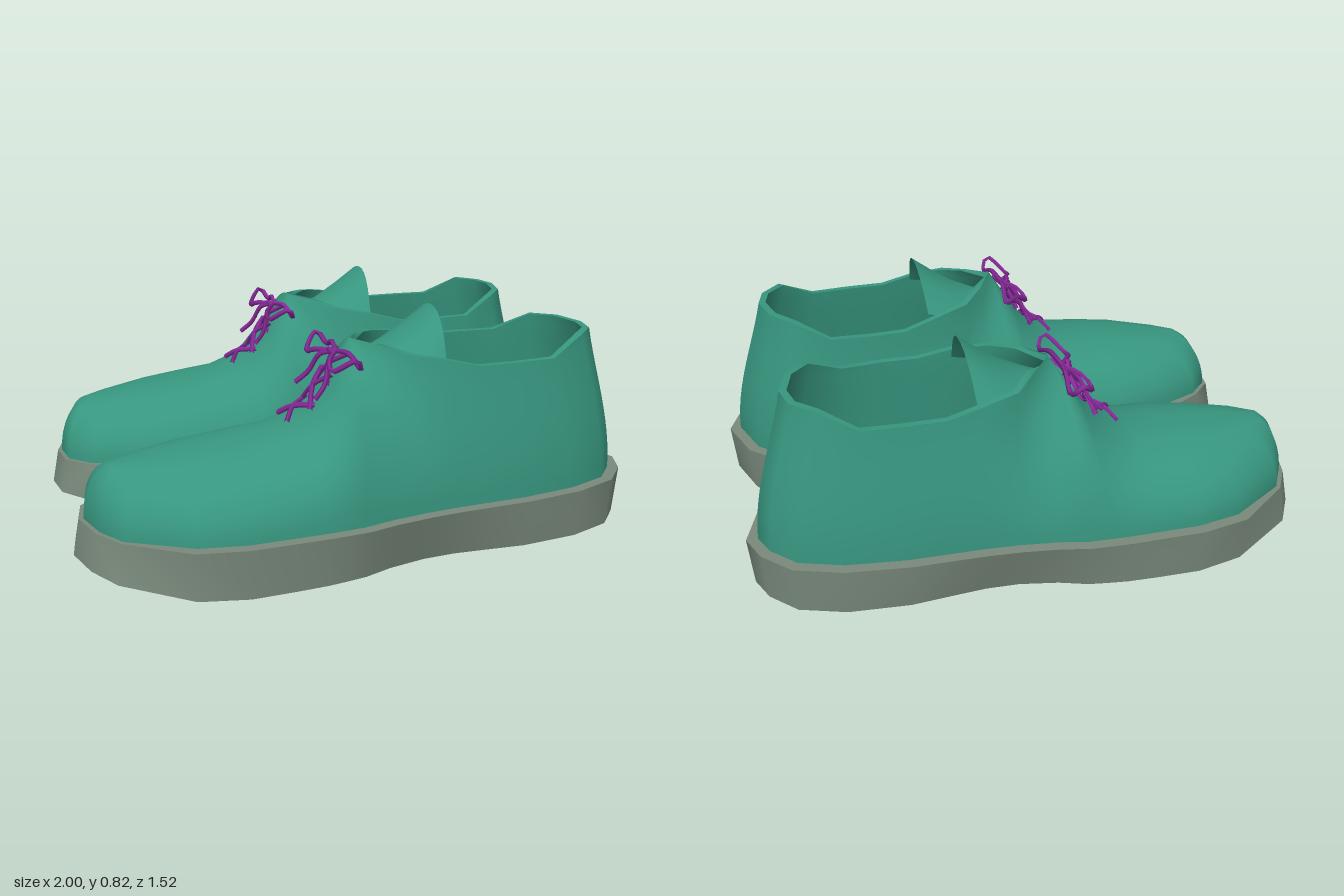
import * as THREE from 'three';

const material = (color, side = THREE.FrontSide) => new THREE.MeshStandardMaterial({ color, side });
const green = material(0x37967f, THREE.DoubleSide);
const rubber = material(0x7a8a7c);
const tan = material(0xb8b57c);
const purple = material(0x8a2a9c);

const MID = 0.38; // z of the shoe's centre line

// Sole outline [x, z]: toe tip, along the inner side, round the heel, back along the outer side
const outline = [
  [-1, 0.35], [-0.98, 0.22], [-0.89, 0.13], [-0.7, 0.055], [-0.5, 0.02], [-0.3, 0.03],
  [-0.22, 0.03], [-0.15, 0.035], [-0.08, 0.035], [0, 0.035], [0.1, 0.035], [0.22, 0.03],
  [0.34, 0.03], [0.46, 0.03], [0.62, 0.035], [0.83, 0.09], [0.94, 0.2], [1, 0.385],
  [0.96, 0.49], [0.87, 0.59], [0.71, 0.65], [0.5, 0.68], [0.36, 0.685], [0.24, 0.69],
  [0.13, 0.7], [0, 0.72], [-0.1, 0.745], [-0.17, 0.75], [-0.24, 0.755], [-0.35, 0.757],
  [-0.5, 0.76], [-0.67, 0.73], [-0.89, 0.6], [-0.96, 0.49],
];
// Ridge over the toes up to the throat [x, y, control reach]
const ridge = [
  [-0.84, 0.38, 0.55], [-0.72, 0.395, 0.6], [-0.58, 0.415, 0.6], [-0.45, 0.432, 0.6],
  [-0.33, 0.45, 0.58], [-0.2, 0.505, 0.5], [-0.12, 0.62, 0.4], [-0.05, 0.73, 0.3],
].map(([x, y, k]) => ({ p: new THREE.Vector3(x, y, MID), k, drop: 0 }));
// Edge of the ankle opening from the throat round the heel
const collar = [
  [0.01, 0.72, 0.27], [0.09, 0.7, 0.17], [0.22, 0.68, 0.12], [0.34, 0.65, 0.1],
  [0.46, 0.65, 0.095], [0.61, 0.65, 0.105], [0.74, 0.71, 0.16], [0.81, 0.715, 0.24],
  [0.84, 0.715, 0.36], [0.82, 0.715, 0.45], [0.75, 0.715, 0.525], [0.62, 0.65, 0.57],
  [0.48, 0.65, 0.58], [0.34, 0.65, 0.58], [0.22, 0.68, 0.575], [0.1, 0.7, 0.55], [0.02, 0.72, 0.46],
].map((c) => ({ p: new THREE.Vector3(...c), k: 0.3, drop: 0.3 }));
const tops = [ridge[0], ...ridge, ...collar, ...[...ridge].reverse()];

// Outline moved inwards by d(x), at height y(x)
function ring(y, d) {
  const n = outline.length;
  return outline.map(([x, z], i) => {
    const a = outline[(i + n - 1) % n], b = outline[(i + 1) % n];
    const tx = b[0] - a[0], tz = b[1] - a[1], l = Math.hypot(tx, tz), w = d(x);
    return new THREE.Vector3(x - (tz / l) * w, y(x), z + (tx / l) * w);
  });
}
const flat = (v) => () => v;
const centre = (y) => outline.map(() => new THREE.Vector3(0, y, MID));

// Smooth skin over rows of points; identical points share one vertex
function loft(rows, closed = true) {
  const pos = [], index = [], seen = new Map();
  const id = (p) => {
    const key = p.toArray().map((v) => v.toFixed(4)).join();
    if (!seen.has(key)) { seen.set(key, pos.length / 3); pos.push(p.x, p.y, p.z); }
    return seen.get(key);
  };
  const tri = (a, b, c) => { if (a !== b && b !== c && a !== c) index.push(a, b, c); };
  const n = rows[0].length;
  for (let j = 0; j < rows.length - 1; j++) {
    for (let i = 0; i < (closed ? n : n - 1); i++) {
      const k = (i + 1) % n;
      const a = id(rows[j][i]), b = id(rows[j + 1][i]), c = id(rows[j + 1][k]), d = id(rows[j][k]);
      tri(a, b, c);
      tri(a, c, d);
    }
  }
  const g = new THREE.BufferGeometry();
  g.setAttribute('position', new THREE.Float32BufferAttribute(pos, 3));
  g.setIndex(index);
  g.computeVertexNormals();
  return g;
}

// Curved ribs from the sole edge to the ridge or collar; t is the inward thickness
function upperRows(t) {
  const base = ring(flat(0.18), flat(0.04 + t));
  const ribs = base.map((b, i) => {
    const { p, k, drop } = tops[i];
    const top = p.clone();
    if (drop) {
      const inward = new THREE.Vector3(THREE.MathUtils.clamp(p.x, 0.25, 0.6) - p.x, 0, MID - 0.03 - p.z);
      top.addScaledVector(inward.normalize(), t);
    } else top.y -= t;
    const h = top.y - b.y;
    const p1 = b.clone().setY(b.y + h * (drop ? 0.35 : 0.55));
    const p2 = top.clone().lerp(b, k).setY(top.y - h * drop);
    return new THREE.CubicBezierCurve3(b, p1, p2, top).getPoints(12);
  });
  return ribs[0].map((_, j) => ribs.map((r) => r[j]));
}

function shoeParts() {
  const parts = [];
  const add = (name, geometry, mat) => parts.push({ name, geometry, mat });

  // Sole: raised toe, narrowed waist
  const lift = (x) => 0.012 + 0.05 * THREE.MathUtils.smoothstep(-x, 0.6, 1);
  const bottom = ring(lift, (x) => (x < -0.8 ? 0 : 0.015) + 0.04 * Math.exp(-(((x - 0.15) / 0.3) ** 2)));
  const top = ring(flat(0.185), (x) => (x < -0.8 ? 0.025 : 0));
  add('soleBottom', loft([centre(0), bottom]), rubber);
  add('soleWall', loft([bottom, top]), rubber);
  add('soleTop', loft([top, centre(0.185)]), rubber);
  add('insole', loft([ring(flat(0.2), flat(0.06)), centre(0.2)]), tan);

  // Upper, lining and the rim between them
  const outer = upperRows(0), inner = upperRows(0.025);
  add('upper', loft(outer), green);
  add('lining', loft([...inner].reverse()), green);
  const rim = (rows) => rows[rows.length - 1].slice(8, 27);
  add('collarRim', loft([rim(outer), rim(inner)], false), green);

  // Tongue: arched strip rising out of the opening
  const tongue = [
    [-0.06, 0.65, 0.08, 0.04], [0.02, 0.675, 0.13, 0.06], [0.1, 0.71, 0.17, 0.08],
    [0.18, 0.765, 0.18, 0.11], [0.25, 0.82, 0.175, 0.15],
  ].map(([x, y, w, d]) => Array.from({ length: 13 }, (_, i) => {
    const u = i / 6 - 1;
    return new THREE.Vector3(x - 0.015 * u * u, y - d * Math.abs(u) ** 2.3, MID - 0.02 - u * w);
  }));
  add('tongue', loft(tongue, false), green);

  // Laces: crossings up the throat, then a bow with two loops and two ends
  const lace = (name, points, segments = 12) => {
    const curve = new THREE.CatmullRomCurve3(points.map(([x, y, z]) => new THREE.Vector3(x, y, MID + z)));
    add(name, new THREE.TubeGeometry(curve, segments, 0.009, 4), purple);
  };
  for (const s of [-1, 1]) {
    [[-0.29, 0.475, -0.19, 0.525], [-0.21, 0.51, -0.13, 0.625], [-0.15, 0.585, -0.08, 0.69]].forEach(([x0, y0, x1, y1]) =>
      lace('laceCrossing', [[x0, y0, -0.055 * s], [(x0 + x1) / 2 - 0.012, (y0 + y1) / 2 + 0.012, 0], [x1, y1, 0.055 * s]], 6));
    lace('bowLoop', [
      [-0.1, 0.69, 0], [-0.15, 0.68, 0.08 * s], [-0.16, 0.66, 0.14 * s], [-0.1, 0.71, 0.21 * s],
      [-0.075, 0.67, 0.18 * s], [-0.085, 0.7, 0.09 * s], [-0.1, 0.69, 0],
    ], 18);
    lace('laceEnd', [[-0.1, 0.69, 0], [-0.14, 0.67, 0.05 * s], [-0.17, 0.6, 0.09 * s], [-0.21, 0.56, 0.11 * s]]);
  }
  lace('laceKnot', [[-0.11, 0.68, -0.025], [-0.125, 0.7, 0], [-0.11, 0.68, 0.025]], 4);
  return parts;
}

// Mirror a geometry across z = 0, keeping its faces outward
function mirrorZ(geometry) {
  geometry.scale(1, 1, -1);
  const ix = geometry.index;
  for (let i = 0; i < ix.count; i += 3) {
    const b = ix.getX(i + 1);
    ix.setX(i + 1, ix.getX(i + 2));
    ix.setX(i + 2, b);
  }
  geometry.computeVertexNormals();
  return geometry;
}

export function createModel() {
  const model = new THREE.Group();
  model.name = 'pairOfShoes';
  for (const side of ['near', 'far']) {
    const shoe = new THREE.Group();
    shoe.name = side + 'Shoe';
    for (const { name, geometry, mat } of shoeParts()) {
      const mesh = new THREE.Mesh(side === 'far' ? mirrorZ(geometry) : geometry, mat);
      mesh.name = name;
      shoe.add(mesh);
    }
    model.add(shoe);
  }
  return model;
}
